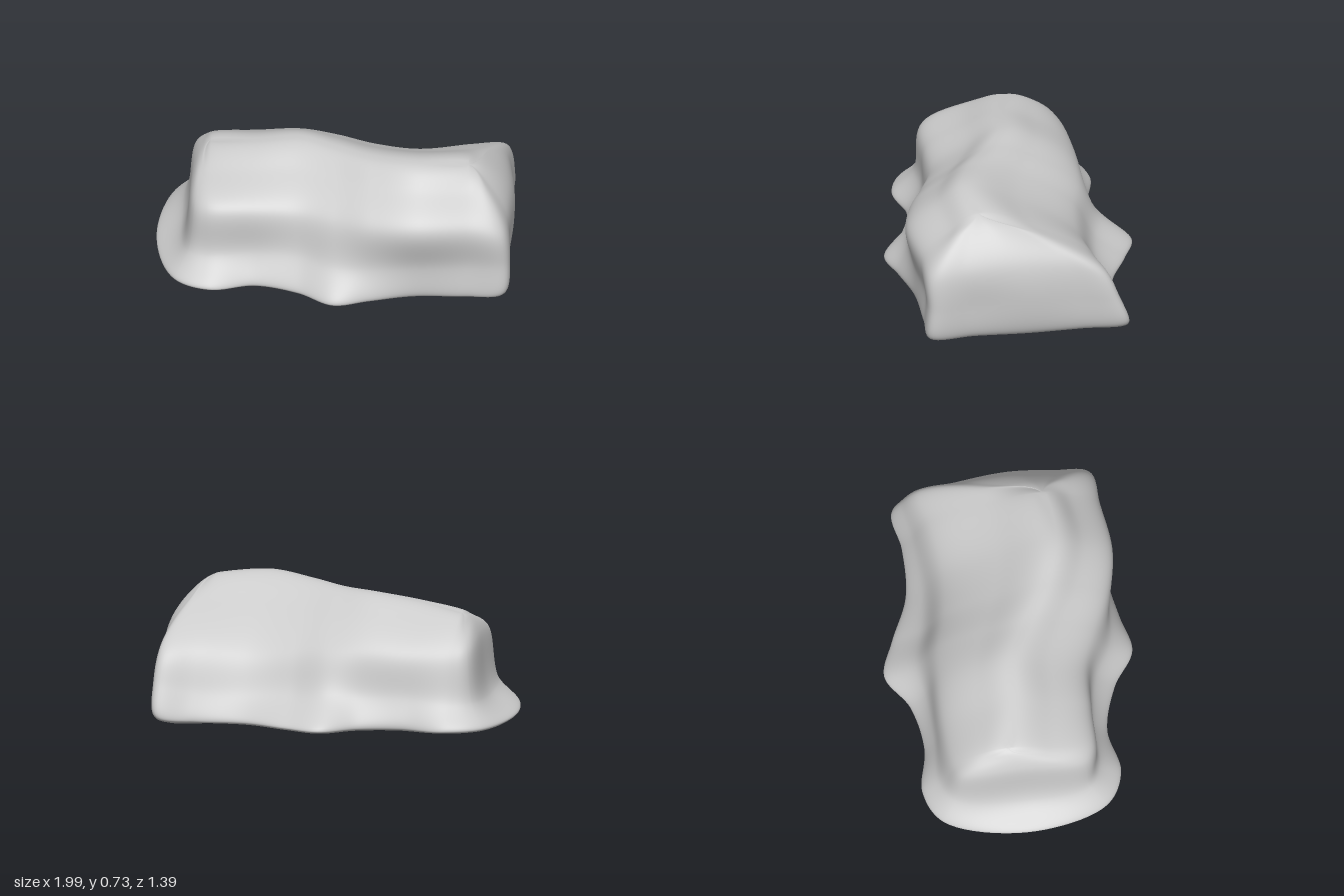
import * as THREE from 'three';
import { mergeVertices } from 'three/addons/utils/BufferGeometryUtils.js';

const V = (x, y, z) => new THREE.Vector3(x, y, z);

// Cross-sections along x: ridge [z, y], then base z, waist [z, y], shoulder [z, y] per side
const sections = [
  { x: -0.70, ridge: [-0.08, 0.605], front: [0.55, 0.425, 0.18, 0.385, 0.45], back: [-0.56, -0.46, 0.17, -0.38, 0.43] },
  { x: -0.45, ridge: [-0.02, 0.65], front: [0.50, 0.42, 0.20, 0.395, 0.45], back: [-0.52, -0.465, 0.20, -0.41, 0.43] },
  { x: -0.20, ridge: [0.00, 0.685], front: [0.57, 0.46, 0.21, 0.40, 0.45], back: [-0.57, -0.48, 0.20, -0.41, 0.44] },
  { x: 0.00, ridge: [0.10, 0.688], front: [0.69, 0.56, 0.20, 0.48, 0.45], back: [-0.695, -0.51, 0.20, -0.39, 0.43] },
  { x: 0.20, ridge: [0.22, 0.705], front: [0.64, 0.585, 0.21, 0.57, 0.46], back: [-0.63, -0.46, 0.18, -0.34, 0.41] },
  { x: 0.45, ridge: [0.30, 0.73], front: [0.58, 0.585, 0.22, 0.625, 0.47], back: [-0.525, -0.43, 0.17, -0.32, 0.39] },
  { x: 0.74, ridge: [0.27, 0.705], front: [0.57, 0.565, 0.22, 0.585, 0.46], back: [-0.515, -0.46, 0.18, -0.36, 0.41] },
];

// End columns: base, waist, shoulder
const rightEnd = [
  [V(0.945, 0.04, 0.56), V(0.96, 0.22, 0.555), V(0.935, 0.43, 0.55)],
  [V(0.94, 0.04, 0.32), V(0.967, 0.24, 0.33), V(0.957, 0.45, 0.36)],
  [V(0.95, 0.04, 0.02), V(0.99, 0.27, 0.04), V(0.965, 0.48, 0.10)],
  [V(0.94, 0.04, -0.30), V(0.965, 0.24, -0.27), V(0.945, 0.45, -0.20)],
  [V(0.945, 0.05, -0.545), V(0.955, 0.22, -0.49), V(0.93, 0.40, -0.40)],
];
const leftEnd = [
  [V(-0.89, 0.03, -0.46), V(-0.815, 0.17, -0.38), V(-0.78, 0.44, -0.33)],
  [V(-1.0, 0.03, 0), V(-0.85, 0.15, 0), V(-0.795, 0.49, -0.02)],
  [V(-0.89, 0.03, 0.45), V(-0.815, 0.17, 0.36), V(-0.78, 0.44, 0.32)],
];

const lastSection = sections.length - 1;
const ridge = sections.map((s) => V(s.x, s.ridge[1], s.ridge[0]));

function buildColumns() {
  const side = (s, [base, wz, wy, sz, sy]) => [V(s.x, 0.03, base), V(s.x, wy, wz), V(s.x, sy, sz)];
  const front = sections.map((s) => side(s, s.front));
  const back = sections.map((s) => side(s, s.back));

  // Underside, rim, wall, bulging slope, ridge, plus one point beyond to keep the crest smooth
  const column = (points, top, beyond, bulge) => {
    const under = points[0].clone().multiplyScalar(0.92).setY(0.008);
    const slope = points[2].clone().lerp(top, 0.5);
    slope.y += bulge;
    return new THREE.CatmullRomCurve3([V(0, 0.015, 0), under, ...points, slope, top, beyond]);
  };
  return [
    ...front.map((p, i) => column(p, ridge[i], back[i][2], 0.025)),
    ...rightEnd.map((p) => column(p, ridge[lastSection], ridge[lastSection - 1], 0.045)),
    ...back.map((p, i) => column(p, ridge[i], front[i][2], 0.045)).reverse(),
    ...leftEnd.map((p) => column(p, ridge[0], ridge[1], 0.025)),
  ];
}

// Skin the columns with smooth closed rings from the underside up to the ridge
function rockGeometry(rows = 70, cols = 220) {
  const columns = buildColumns();
  const crest = new THREE.CatmullRomCurve3(ridge);
  const turn = columns.length - leftEnd.length - 1;
  const positions = [];
  const index = [];
  for (let r = 0; r <= rows; r++) {
    const t = (r / rows) * (6 / 7);
    const ring = new THREE.CatmullRomCurve3(columns.map((c) => c.getPoint(t)), true);
    for (let c = 0; c < cols; c++) {
      let p = ring.getPoint(c / cols);
      if (r === 0) p = V(0, 0.015, 0);
      if (r === rows) {
        // Front and back halves meet on the crest
        const u = (c / cols) * columns.length;
        p = crest.getPoint(THREE.MathUtils.clamp(Math.min(u, turn - u), 0, lastSection) / lastSection);
      }
      positions.push(p.x, Math.max(p.y, 0), p.z);
      if (r === rows) continue;
      const a = r * cols + c;
      const b = r * cols + ((c + 1) % cols);
      index.push(a, b, b + cols, a, b + cols, a + cols);
    }
  }
  const geometry = new THREE.BufferGeometry();
  geometry.setAttribute('position', new THREE.Float32BufferAttribute(positions, 3));
  geometry.setIndex(index);
  const welded = mergeVertices(geometry, 1e-4);
  welded.computeVertexNormals();
  return welded;
}

export function createModel() {
  const group = new THREE.Group();
  group.name = 'rock';
  const material = new THREE.MeshStandardMaterial({ color: 0xcccccc });
  const body = new THREE.Mesh(rockGeometry(), material);
  body.name = 'rockBody';
  group.add(body);
  return group;
}
